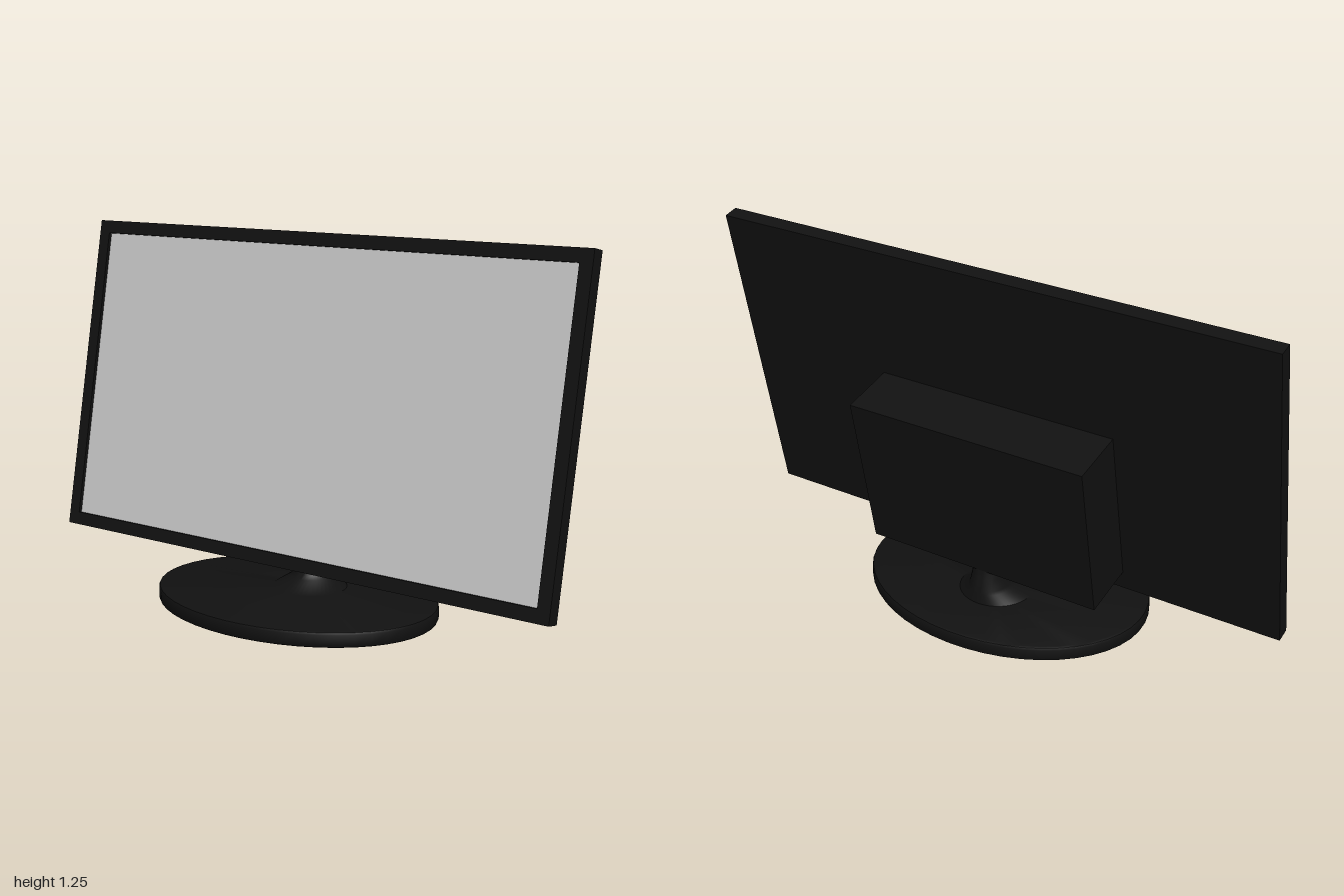
import * as THREE from 'three';
import { toCreasedNormals } from 'three/addons/utils/BufferGeometryUtils.js';

const black = new THREE.MeshStandardMaterial({ color: 0x111111 });
const grey = new THREE.MeshStandardMaterial({ color: 0xcccccc });

function add(parent, name, geometry, material, x = 0, y = 0, z = 0) {
  const mesh = new THREE.Mesh(geometry, material);
  mesh.name = name;
  mesh.position.set(x, y, z);
  parent.add(mesh);
  return mesh;
}

// Skins a list of elliptical rings [y, zCentre, xRadius, zRadius].
function loft(rings, segments = 48) {
  const positions = [], index = [];
  for (const [y, z, rx, rz] of rings) {
    for (let j = 0; j < segments; j++) {
      const a = (j / segments) * Math.PI * 2;
      positions.push(rx * Math.cos(a), y, z + rz * Math.sin(a));
    }
  }
  for (let i = 0; i < rings.length - 1; i++) {
    for (let j = 0; j < segments; j++) {
      const k = (j + 1) % segments;
      const a = i * segments + j, b = i * segments + k;
      const c = a + segments, d = b + segments;
      if (rings[i][2] > 0) index.push(a, c, b);
      if (rings[i + 1][2] > 0) index.push(c, d, b);
    }
  }
  const g = new THREE.BufferGeometry();
  g.setAttribute('position', new THREE.Float32BufferAttribute(positions, 3));
  g.setIndex(index);
  return toCreasedNormals(g, 0.6);
}

function rectangle(PathType, w, h) {
  const p = new PathType();
  p.moveTo(-w / 2, -h / 2);
  p.lineTo(w / 2, -h / 2);
  p.lineTo(w / 2, h / 2);
  p.lineTo(-w / 2, h / 2);
  p.closePath();
  return p;
}

export function createModel() {
  const model = new THREE.Group();
  model.name = 'monitor';

  // Oval foot with a hollow underside, rising into the flared neck
  add(model, 'stand', loft([
    [0.10, -0.11, 0, 0],
    [0.10, -0.11, 0.06, 0.07],
    [0.085, -0.105, 0.07, 0.08],
    [0.04, -0.08, 0.12, 0.12],
    [0.012, 0, 0.485, 0.36],
    [0, 0, 0.495, 0.37],
    [0, 0, 0.508, 0.382],
    [0.003, 0, 0.513, 0.387],
    [0.01, 0, 0.516, 0.39],
    [0.043, 0, 0.516, 0.39],
    [0.05, 0, 0.513, 0.387],
    [0.053, 0, 0.506, 0.38],
    [0.053, -0.077, 0.13, 0.127],
    [0.088, -0.106, 0.08, 0.094],
    [0.1, -0.112, 0.07, 0.086],
    [0.14, -0.113, 0.062, 0.074],
    [0.18, -0.114, 0.056, 0.063],
    [0.26, -0.114, 0.05, 0.052],
    [0.26, -0.114, 0, 0],
  ]), black);

  // Everything on the display leans back together
  const display = new THREE.Group();
  display.name = 'display';
  display.position.set(0, 0.697, -0.052);
  display.rotation.x = -0.189;
  model.add(display);

  const W = 2, H = 1.126, T = 0.052, recess = 0.013, border = 0.045;
  add(display, 'backPanel', new THREE.BoxGeometry(W, H, T - recess), black, 0, 0, -recess / 2);

  // Raised bezel around the recessed screen
  const frame = rectangle(THREE.Shape, W, H);
  frame.holes.push(rectangle(THREE.Path, W - 2 * border, H - 2 * border));
  add(display, 'bezel', new THREE.ExtrudeGeometry(frame, { depth: recess, bevelEnabled: false }),
    black, 0, 0, T / 2 - recess);
  add(display, 'screen', new THREE.PlaneGeometry(W - 2 * border, H - 2 * border),
    grey, 0, 0, T / 2 - recess + 0.001);

  // Housing behind the panel that sits on the neck
  add(display, 'rearHousing', new THREE.BoxGeometry(0.875, 0.568, 0.2), black, 0, -0.207, -0.124);

  return model;
}
